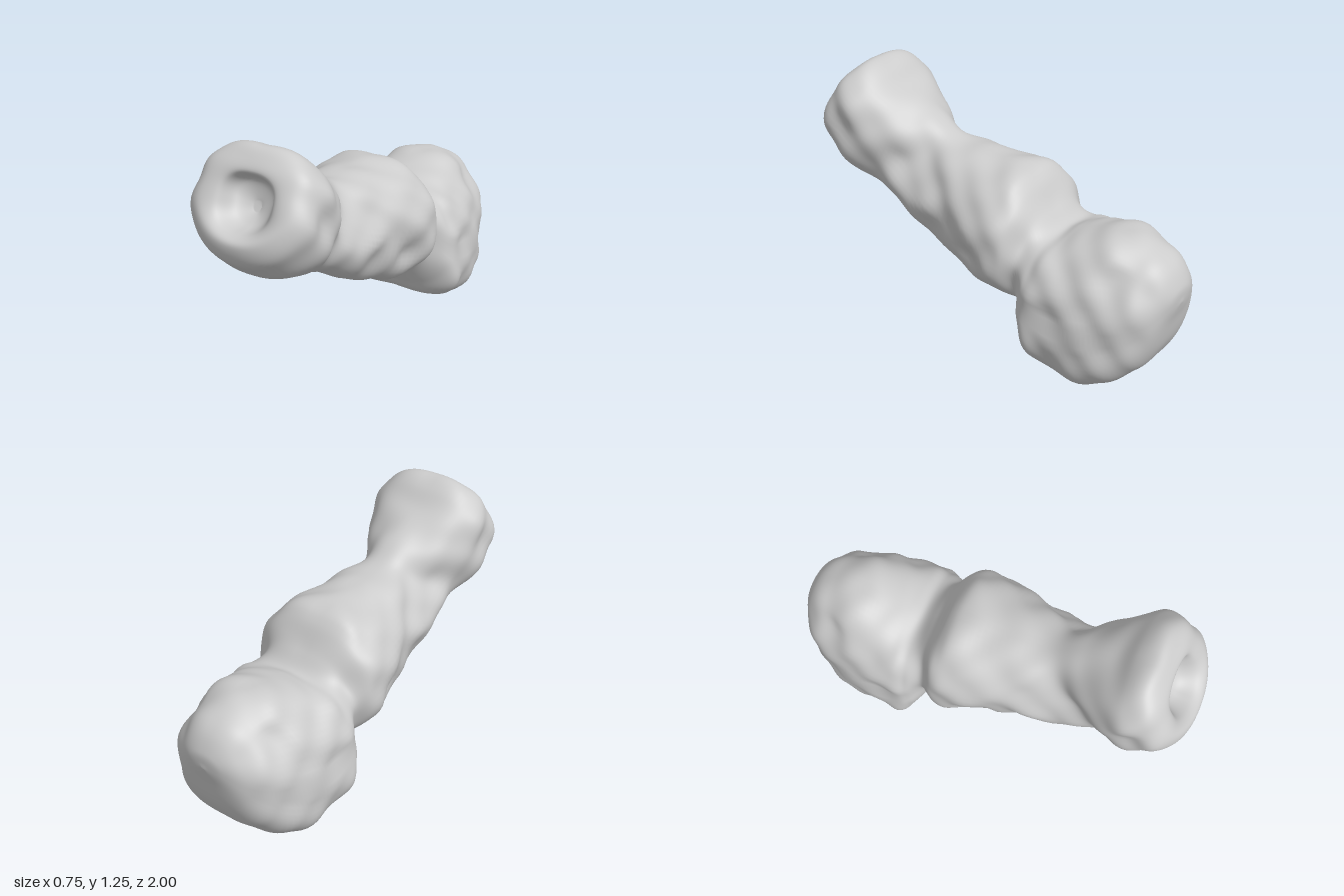
import * as THREE from 'three';

const AROUND = 72, ALONG = 160;
const { lerp, clamp, smoothstep } = THREE.MathUtils;

// Cross-sections from the front socket to the rear knob:
// top z, top y, bottom z, bottom y, half width
const SECTIONS = [
  [0.79, 1.01, 0.81, 0.97, 0.02],
  [0.785, 1.10, 0.87, 0.93, 0.10],
  [0.84, 1.16, 0.96, 0.92, 0.15],
  [0.80, 1.22, 1.00, 0.88, 0.23],
  [0.74, 1.245, 0.97, 0.79, 0.295],
  [0.66, 1.21, 0.87, 0.70, 0.325],
  [0.57, 1.13, 0.76, 0.65, 0.305],
  [0.42, 1.03, 0.62, 0.61, 0.245],
  [0.29, 0.94, 0.45, 0.51, 0.24],
  [0.10, 0.915, 0.26, 0.38, 0.265],
  [-0.13, 0.905, -0.02, 0.275, 0.335],
  [-0.23, 0.85, -0.18, 0.275, 0.34],
  [-0.31, 0.73, -0.25, 0.25, 0.29],
  [-0.38, 0.67, -0.31, 0.16, 0.345],
  [-0.45, 0.685, -0.36, 0.09, 0.37],
  [-0.55, 0.715, -0.48, 0.01, 0.355],
  [-0.73, 0.745, -0.64, -0.025, 0.335],
  [-0.86, 0.70, -0.82, 0.06, 0.285],
  [-0.95, 0.63, -0.93, 0.21, 0.20],
  [-0.995, 0.55, -0.98, 0.39, 0.10],
  [-1.00, 0.49, -1.00, 0.47, 0.01],
];

// Hollows (+) and ridges (-) on both flanks: z, y, reach in z, reach in y, depth
const DENTS = [
  [0.42, 0.83, 0.13, 0.08, 0.16], [0.30, 0.66, 0.09, 0.06, -0.10],
  [0.77, 0.98, 0.07, 0.09, 0.09], [0.00, 0.50, 0.09, 0.07, 0.10],
  [0.08, 0.68, 0.14, 0.08, -0.06], [-0.79, 0.60, 0.08, 0.07, 0.22],
  [-0.42, 0.38, 0.10, 0.05, 0.06],
];

const bell = (d, width) => Math.exp(-((d / width) ** 2));

// Smooth blend through the sections
function sectionAt(t) {
  const f = t * (SECTIONS.length - 1);
  const i = Math.min(Math.floor(f), SECTIONS.length - 2), u = f - i;
  const row = (k) => SECTIONS[clamp(k, 0, SECTIONS.length - 1)];
  const [a, b, c, d] = [row(i - 1), row(i), row(i + 1), row(i + 2)];
  return b.map((p, k) => p + 0.5 * u * (c[k] - a[k]
    + u * (2 * a[k] - 5 * p + 4 * c[k] - d[k] + u * (3 * (p - c[k]) + d[k] - a[k]))));
}

function surfacePoint(t, angle) {
  const [zt, yt, zb, yb, w] = sectionAt(t);
  const c = Math.cos(angle), s = Math.sin(angle), mid = (zt + zb) / 2;

  // Round head and shaft; the knob is square below
  const knob = smoothstep(-mid, 0.25, 0.45) * Math.min(1, w / 0.33);
  const power = s < 0 ? lerp(0.9, 0.62, knob) : 0.9;
  const soften = (n) => Math.sign(n) * Math.abs(n) ** power;
  const side = soften(c), v = soften(s), k = (v + 1) / 2;

  // The neck narrows upwards, the head downwards
  const taper = 0.1 * knob + 0.3 * bell(mid - 0.43, 0.13) - 0.1 * bell(mid - 0.8, 0.12);
  let x = w * side * (1 - taper * v);
  let y = lerp(yb, yt, k);
  const z = lerp(zb, zt, k);

  // Paired lobes: a groove runs along the middle of the underside
  const groove = 0.12 * bell(mid - 0.15, 0.22) + 0.06 * bell(mid + 0.67, 0.17);
  y += groove * bell(side, 0.42) * Math.max(0, -v);

  for (const [dz, dy, rz, ry, depth] of DENTS) {
    x *= 1 - depth * bell(z - dz, rz) * bell(y - dy, ry);
  }

  // Weathered surface
  const ax = Math.abs(x);
  const bump = 0.01 * Math.min(1, w / 0.25) * (Math.sin(17 * z + 9 * y) * Math.cos(19 * y - 8 * ax)
    + 0.5 * Math.sin(31 * z - 23 * y + 13 * ax));
  return [x + bump * c, y + bump * s * 0.7, z];
}

// Closed skin over all sections, with the first and last ring capped
function boneGeometry() {
  const positions = [], index = [];
  for (let i = 0; i <= ALONG; i++) {
    for (let j = 0; j < AROUND; j++) {
      positions.push(...surfacePoint(i / ALONG, (j / AROUND) * Math.PI * 2));
    }
  }
  for (let i = 0; i < ALONG; i++) {
    for (let j = 0; j < AROUND; j++) {
      const a = i * AROUND + j, b = i * AROUND + ((j + 1) % AROUND);
      index.push(a, a + AROUND, b, b, a + AROUND, b + AROUND);
    }
  }
  const last = ALONG * AROUND;
  for (let j = 1; j < AROUND - 1; j++) {
    index.push(0, j, j + 1, last, last + j + 1, last + j);
  }
  const geometry = new THREE.BufferGeometry();
  geometry.setAttribute('position', new THREE.Float32BufferAttribute(positions, 3));
  geometry.setIndex(index);
  geometry.computeVertexNormals();
  return geometry;
}

export function createModel() {
  const group = new THREE.Group();
  group.name = 'bone';
  const body = new THREE.Mesh(boneGeometry(), new THREE.MeshStandardMaterial({ color: 0xcccccc }));
  body.name = 'boneBody';
  group.add(body);
  return group;
}
